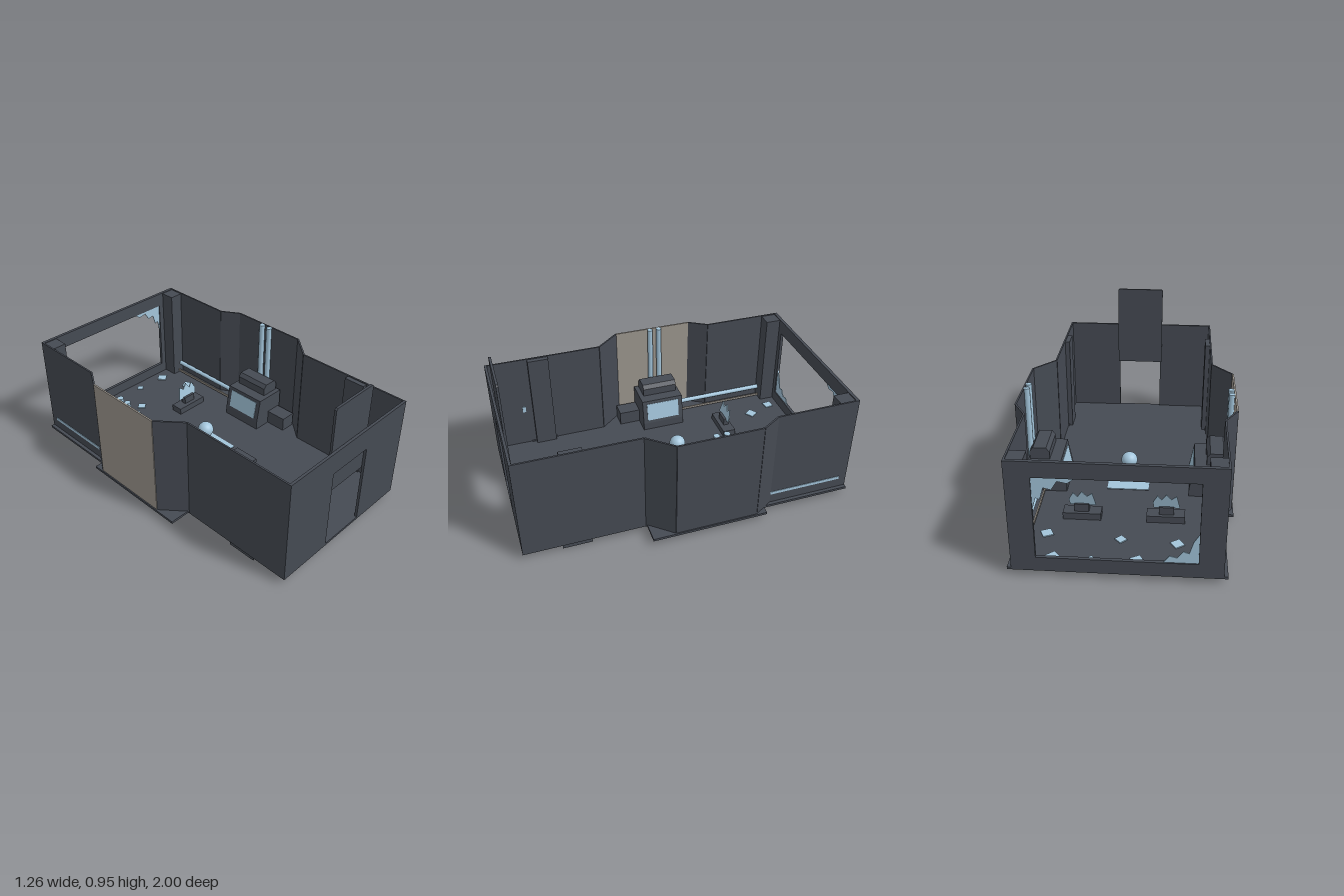
import * as THREE from 'three';

export function createModel() {
  const model = new THREE.Group();
  const mat = (name, color) => {
    const m = new THREE.MeshStandardMaterial({ color });
    m.name = name;
    return m;
  };
  const hull = mat('dark hull', 0x454a53);
  const glass = mat('pale blue', 0xa3c5db);
  const panel = mat('warm grey', 0x9c968e);

  const add = (name, geo, material, parent = model) => {
    const mesh = new THREE.Mesh(geo, material);
    mesh.name = name;
    parent.add(mesh);
    return mesh;
  };
  // Box given by its lower and upper limits on each axis
  const box = (name, x0, x1, y0, y1, z0, z1, material = hull, parent = model) => {
    const mesh = add(name, new THREE.BoxGeometry(Math.abs(x1 - x0), y1 - y0, z1 - z0), material, parent);
    mesh.position.set((x0 + x1) / 2, (y0 + y1) / 2, (z0 + z1) / 2);
    return mesh;
  };
  const shapeOf = pts => new THREE.Shape(pts.map(p => new THREE.Vector2(p[0], p[1])));
  const extrude = (shape, depth) => new THREE.ExtrudeGeometry(shape, { depth, bevelEnabled: false });
  const rect = (x0, x1, y0, y1) => shapeOf([[x0, y0], [x1, y0], [x1, y1], [x0, y1]]);

  const TOP = 0.69, BASE = 0.035, FLOOR = 0.05;

  // Stepped floor slab
  const half = [[0.5, -1], [0.5, -0.27], [0.63, -0.27], [0.63, 0.44], [0.575, 0.44], [0.575, 1]];
  const outline = [...half, ...half.map(([x, y]) => [-x, y]).reverse()];
  const slab = add('floor', extrude(shapeOf(outline), FLOOR - BASE), hull);
  slab.rotation.x = -Math.PI / 2;
  slab.position.y = BASE;

  // Side walls following the angled plan
  const plan = [[0.495, 1], [0.495, 0.275], [0.618, 0.13], [0.618, -0.375], [0.548, -0.49], [0.548, -1]];
  for (const s of [1, -1]) {
    for (let i = 0; i < plan.length - 1; i++) {
      const [x0, z0] = plan[i], [x1, z1] = plan[i + 1];
      const isPanel = s < 0 && i === 2;
      const len = Math.hypot(x1 - x0, z1 - z0);
      const w = add(isPanel ? 'repairPanel' : 'sideWall',
        new THREE.BoxGeometry(0.01, TOP - BASE, len), isPanel ? panel : hull);
      w.position.set(s * (x0 + x1) / 2, (TOP + BASE) / 2, (z0 + z1) / 2);
      w.rotation.y = Math.atan2(s * (x1 - x0), z1 - z0);
    }
  }

  // Front wall with a doorway and raised sliding door
  const front = rect(-0.5, 0.5, BASE, TOP);
  front.holes.push(rect(-0.147, 0.147, FLOOR, 0.55));
  add('frontWall', extrude(front, 0.016), hull).position.z = 0.984;
  const door = shapeOf([[-0.157, 0.41], [0.157, 0.41], [0.157, 0.945], [0.147, 0.955], [-0.147, 0.955], [-0.157, 0.945]]);
  add('raisedDoor', extrude(door, 0.014), hull).position.z = 0.967;

  // Rear wall with a large broken window
  const rear = rect(-0.553, 0.553, BASE, TOP);
  rear.holes.push(rect(-0.42, 0.42, 0.12, 0.6));
  add('rearWall', extrude(rear, 0.02), hull).position.z = -1;
  const shard = (name, pts) => add(name, extrude(shapeOf(pts), 0.006), glass).position.z = -0.993;
  shard('upperWindowShard', [[0.42, 0.6], [0.2, 0.6], [0.24, 0.57], [0.29, 0.58], [0.32, 0.53],
    [0.36, 0.54], [0.38, 0.47], [0.4, 0.48], [0.42, 0.41]]);
  shard('lowerWindowShard', [[-0.42, 0.12], [-0.24, 0.12], [-0.27, 0.16], [-0.31, 0.15], [-0.34, 0.19],
    [-0.37, 0.18], [-0.39, 0.25], [-0.42, 0.3]]);

  // Floor hatch and floating globe
  box('hatchFrame', -0.127, 0.127, 0.018, 0.051, -0.215, 0.045);
  box('hatchTopGlass', -0.127, 0.127, 0.051, 0.055, -0.215, 0.045, glass);
  box('hatchBottomGlass', -0.108, 0.108, 0.014, 0.018, -0.195, 0.025, glass);
  add('globe', new THREE.SphereGeometry(0.05, 32, 20), glass).position.set(0, 0.19, -0.09);

  // Fittings repeated on both sides
  for (const s of [1, -1]) {
    const side = new THREE.Group();
    side.name = s > 0 ? 'leftFittings' : 'rightFittings';
    model.add(side);
    const sb = (name, x0, x1, y0, y1, z0, z1, m = hull) => box(name, s * x0, s * x1, y0, y1, z0, z1, m, side);

    sb('skid', 0.482, 0.487, 0, 0.06, 0.595, 0.77);
    sb('frontPillar', 0.46, 0.492, FLOOR, TOP - 0.005, 0.61, 0.74);
    sb('pillarLight', 0.482, 0.49, 0.3, 0.34, 0.785, 0.805, glass);
    sb('rearPillar', 0.455, 0.545, FLOOR, TOP - 0.005, -0.98, -0.885);

    // Light tubes along the rear wall, outside and inside
    sb('outerLightStrip', 0.55, 0.556, 0.112, 0.132, -0.95, -0.49, glass);
    const tube = add('innerLightTube', new THREE.CylinderGeometry(0.015, 0.015, 0.62, 12), glass, side);
    tube.rotation.x = Math.PI / 2;
    tube.position.set(s * 0.526, 0.12, -0.575);
    sb('tubeTrim', 0.5, 0.508, 0.06, 0.075, -0.885, -0.265, panel);

    // Upright pipes
    for (const z of [-0.16, -0.1]) {
      const pipe = add('uprightPipe', new THREE.CylinderGeometry(0.018, 0.018, TOP - FLOOR, 10), glass, side);
      pipe.position.set(s * 0.598, (TOP + FLOOR) / 2, z);
    }

    // Side console with sloped screen, raised housing and seat
    const body = shapeOf([[0.37, FLOOR], [0.37, 0.1], [0.4, 0.26], [0.6, 0.26], [0.6, FLOOR]].map(([x, y]) => [s * x, y]));
    add('consoleBody', extrude(body, 0.28), hull, side).position.z = -0.26;
    const screen = add('consoleScreen', new THREE.BoxGeometry(0.006, 0.12, 0.22), glass, side);
    screen.position.set(s * 0.385, 0.18, -0.12);
    screen.rotation.z = -s * Math.atan2(0.03, 0.16);
    const cap = shapeOf([[0.47, 0.26], [0.47, 0.31], [0.49, 0.335], [0.57, 0.335], [0.59, 0.31], [0.59, 0.26]].map(([x, y]) => [s * x, y]));
    add('consoleHousing', extrude(cap, 0.23), hull, side).position.z = -0.24;
    sb('consoleSeat', 0.485, 0.585, FLOOR, 0.14, 0.02, 0.155);

    // Small pilot desk with a cracked display
    sb('deskBase', 0.13, 0.35, FLOOR, 0.092, -0.55, -0.468);
    sb('displayPost', 0.2, 0.285, 0.092, 0.14, -0.53, -0.495);
    const cracked = shapeOf([[-0.08, 0], [0.07, 0], [0.075, 0.04], [0.05, 0.09], [0.025, 0.06],
      [0, 0.1], [-0.03, 0.065], [-0.06, 0.09]]);
    const display = add('crackedDisplay', extrude(cracked, 0.006), glass, side);
    display.position.set(s * 0.24, 0.13, -0.515);
    display.rotation.x = -0.2;
  }

  // Loose glass on the floor: x, z, size, turn
  const pieces = [[-0.37, -0.905, 0.055, 0.1], [-0.31, -0.75, 0.06, 0.6], [-0.1, -0.905, 0.06, 0.5],
    [0.145, -0.915, 0.04, 0.75], [0.35, -0.905, 0.06, 0.7], [0, -0.73, 0.05, 0.75], [0.415, -0.7, 0.06, 0.45]];
  for (const [x, z, size, turn] of pieces) {
    const p = add('floorShard', new THREE.BoxGeometry(size, 0.006, size), glass);
    p.position.set(x, 0.057, z);
    p.rotation.y = turn;
  }
  return model;
}
